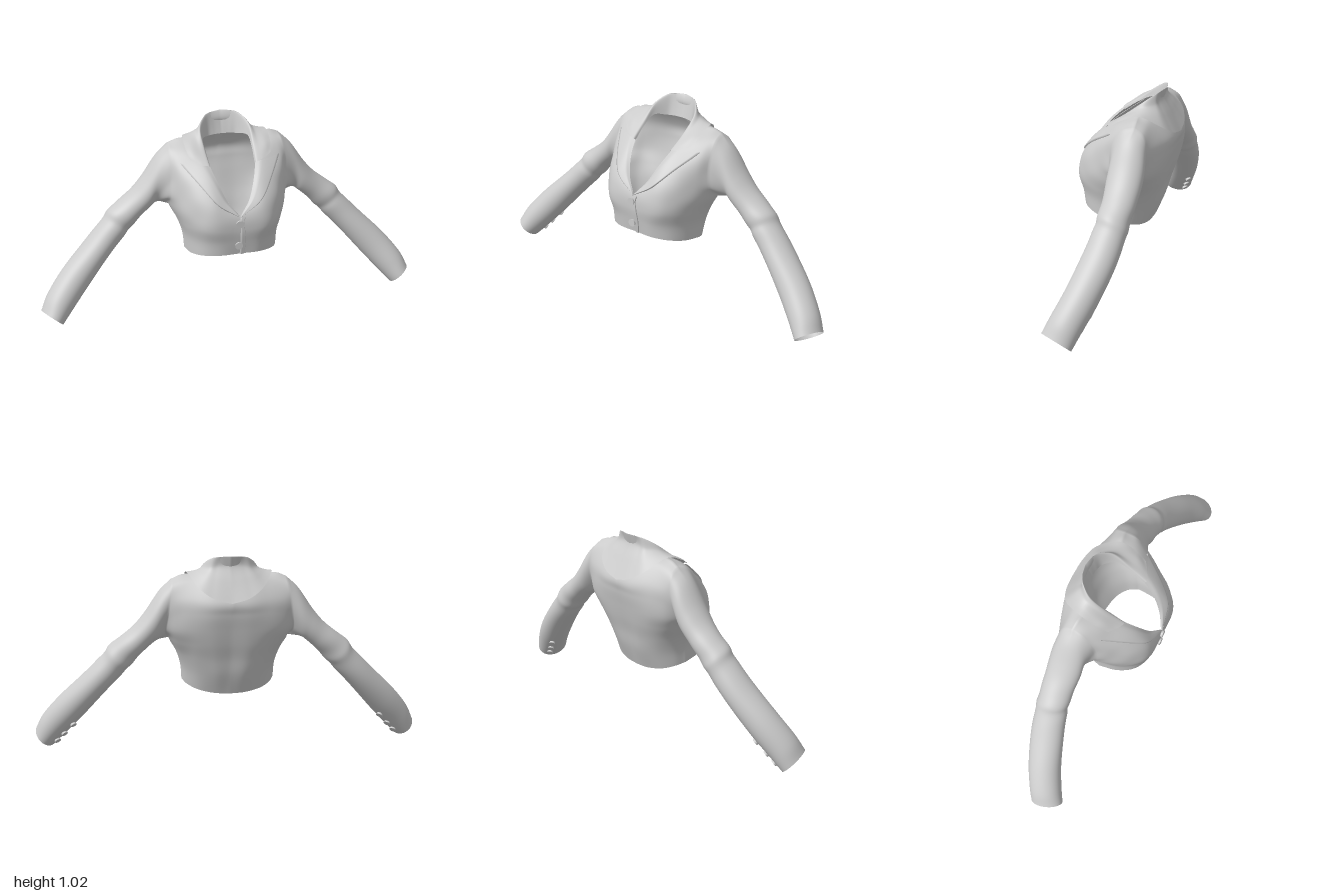
import * as THREE from 'three';
import { mergeGeometries, mergeVertices } from 'three/addons/utils/BufferGeometryUtils.js';

const V = (x, y, z) => new THREE.Vector3(x, y, z);
const spline = (pts, t) =>
  new THREE.CatmullRomCurve3(pts, false, 'catmullrom').getPoint(THREE.MathUtils.clamp(t, 0, 1));
const material = new THREE.MeshStandardMaterial({ color: 0xcccccc, side: THREE.DoubleSide });

// Rows of five control points each, from the middle of the jacket outwards.
const FRONT = [
  0, .39, .225, .1, .388, .222, .18, .378, .18, .225, .36, .1, .24, .345, 0,
  0, .46, .237, .11, .46, .23, .185, .455, .185, .232, .445, .1, .247, .43, -.01,
  0, .53, .245, .13, .535, .243, .203, .535, .195, .252, .52, .1, .27, .505, -.025,
  0, .6, .238, .13, .605, .238, .207, .605, .19, .268, .595, .1, .308, .582, -.05,
  .055, .675, .2, .13, .675, .213, .21, .68, .168, .268, .67, .09, .31, .65, .015,
  .09, .755, .15, .14, .755, .153, .205, .757, .122, .265, .755, .07, .3, .74, .015,
  .115, .82, .085, .155, .82, .082, .21, .822, .057, .265, .825, .025, .3, .82, -.005,
  .125, .868, .015, .16, .872, .01, .21, .877, -.005, .255, .88, -.028, .295, .88, -.05,
  .135, .93, -.085, .16, .925, -.09, .2, .92, -.097, .245, .917, -.105, .288, .9, -.11];
const BACK = [
  0, .29, -.122, .08, .295, -.118, .16, .31, -.098, .215, .33, -.055, .24, .345, 0,
  0, .4, -.16, .08, .4, -.16, .165, .405, -.13, .225, .42, -.075, .247, .43, -.01,
  0, .49, -.182, .09, .49, -.185, .18, .495, -.16, .245, .5, -.1, .27, .505, -.025,
  0, .57, -.207, .1, .57, -.21, .19, .57, -.19, .27, .575, -.14, .308, .582, -.05,
  0, .65, -.228, .1, .65, -.23, .2, .645, -.213, .275, .64, -.18, .325, .635, -.125,
  0, .73, -.247, .1, .73, -.245, .2, .73, -.222, .27, .725, -.195, .315, .72, -.17,
  0, .8, -.252, .1, .8, -.243, .19, .805, -.215, .26, .8, -.195, .305, .8, -.18,
  .05, .905, -.175, .11, .905, -.17, .18, .895, -.16, .24, .88, -.16, .295, .865, -.16,
  ...FRONT.slice(-15)];
// Neck seam, fold, two leaf points and leaf edge, from the notch to the centre back.
const COLLAR = [
  .115, .82, .08, .122, .83, .092, .15, .838, .083, .18, .845, .065, .21, .855, .043,
  .12, .87, .01, .13, .89, .003, .157, .892, .003, .19, .897, -.004, .222, .898, -.02,
  .118, .91, -.07, .128, .963, -.09, .15, .945, -.095, .18, .935, -.102, .215, .928, -.112,
  .08, .9, -.13, .09, 1.003, -.148, .107, .955, -.155, .135, .915, -.178, .165, .868, -.21,
  .04, .9, -.145, .05, 1.012, -.172, .06, .965, -.163, .075, .9, -.2, .09, .817, -.25,
  0, .9, -.15, 0, 1.015, -.185, 0, .97, -.168, 0, .89, -.208, 0, .793, -.261];
// Sleeve stations: top x, y, underside x, y, centre z, half depth.
const SLEEVE = [
  [.355, .835, .37, .582, -.1, .09], [.43, .725, .395, .565, -.1, .09],
  [.5, .645, .44, .525, -.1, .085], [.6, .568, .5, .46, -.097, .082],
  [.65, .505, .55, .405, -.09, .083], [.75, .4, .645, .3, -.068, .087],
  [.87, .28, .76, .165, -.028, .086], [.96, .17, .845, .07, .015, .085],
  [1, .09, .905, .005, .045, .085]];

// Smooth surface through rows of five points
function surface(data) {
  const rows = [];
  for (let i = 0; i < data.length; i += 15) {
    rows.push([0, 3, 6, 9, 12].map(k => V(data[i + k], data[i + k + 1], data[i + k + 2])));
  }
  return (u, v) => {
    const p = spline(rows.map(r => spline(r, u)), v);
    p.x = Math.max(0, p.x);
    return p;
  };
}

// Grid mesh from point(i, j); flip turns the faces over
function grid(nu, nv, point, flip = false) {
  const pos = [], index = [];
  for (let j = 0; j <= nv; j++) for (let i = 0; i <= nu; i++) pos.push(...point(i, j).toArray());
  for (let j = 0; j < nv; j++) for (let i = 0; i < nu; i++) {
    const a = j * (nu + 1) + i, b = a + 1, c = a + nu + 1, d = c + 1;
    index.push(...(flip ? [a, d, b, a, c, d] : [a, b, d, a, d, c]));
  }
  const g = new THREE.BufferGeometry();
  g.setAttribute('position', new THREE.Float32BufferAttribute(pos, 3));
  g.setIndex(index);
  g.computeVertexNormals();
  return g;
}

function mirror(geometry) {
  const g = geometry.clone().scale(-1, 1, 1), idx = g.index.array;
  for (let i = 0; i < idx.length; i += 3) [idx[i], idx[i + 1]] = [idx[i + 1], idx[i]];
  g.computeVertexNormals();
  return g;
}

// Joins geometries and smooths the normals across their shared edges
function weld(geometries) {
  const merged = mergeGeometries(geometries);
  merged.deleteAttribute('normal');
  const welded = mergeVertices(merged, 1e-5);
  welded.computeVertexNormals();
  return welded;
}

const front = surface(FRONT), back = surface(BACK), collar = surface(COLLAR);
const NU = 28, NV = 64, ARMPIT = 24, HALF = NV - ARMPIT, LENGTH = 63;

// Sleeve centre line, and lengthwise lines grown out of the armhole loop
const centres = SLEEVE.map(s => V((s[0] + s[2]) / 2, (s[1] + s[3]) / 2, s[4]));
const sleeveCentre = j => spline([V(.3, .74, -.09), ...centres], j / LENGTH);
const sleeveLines = Array.from({ length: 2 * HALF + 1 }, (_, k) => {
  const a = k / HALF * Math.PI;
  const start = k <= HALF || k === 2 * HALF
    ? front(1, (ARMPIT + k % (2 * HALF)) / NV)
    : back(1, (ARMPIT + 2 * HALF - k) / NV);
  return [start, ...SLEEVE.map((s, i) => {
    const up = V((s[0] - s[2]) / 2, (s[1] - s[3]) / 2, 0);
    const along = centres[Math.min(i + 1, 8)].clone().sub(centres[Math.max(i - 1, 0)]);
    const fwd = along.cross(up).setLength(s[5]);
    return centres[i].clone().addScaledVector(up, -Math.cos(a)).addScaledVector(fwd, Math.sin(a));
  })];
});
// Sleeve surface with soft creases around the elbow
function sleeve(k, j) {
  const s = j / 7, p = spline(sleeveLines[k], j / LENGTH);
  const fold = .028 * Math.exp(-((s - 4.2) ** 2)) * Math.sin(5 * s + 2 * Math.cos(k / HALF * Math.PI - 1));
  return p.addScaledVector(p.clone().sub(sleeveCentre(j)), j ? fold : 0);
}

// Layer lying on the front panel, with a turned-in edge
function overlay(v0, v1, edge, lift) {
  return grid(12, 32, (i, j) => {
    const v = v0 + (v1 - v0) * j / 32, s = Math.min(i / 11, 1), u = s * edge(v);
    const p = front(u, v / 8), e = .01;
    const du = front(u + e, v / 8).sub(front(u - e, v / 8));
    const dv = front(u, v / 8 + e).sub(front(u, v / 8 - e));
    const n = du.cross(dv).normalize();
    return p.addScaledVector(n, i === 12 ? -.002 : lift * Math.min(1, s * 4));
  });
}

export function createModel() {
  const group = new THREE.Group();
  const add = (name, geometry) => {
    const mesh = new THREE.Mesh(geometry, material);
    mesh.name = name;
    group.add(mesh);
    return mesh;
  };

  // Body panels and sleeves share smooth normals; the back meets the front at the side seam
  const parts = {
    FrontPanel: grid(NU, NV, (i, j) => front(i / NU, j / NV)),
    BackPanel: grid(NU, NV, (i, j) => (i === NU && j <= ARMPIT ? front : back)(i / NU, j / NV), true),
    Sleeve: grid(2 * HALF, LENGTH, sleeve, true),
  };
  const names = [], pieces = [];
  for (const [name, g] of Object.entries(parts)) {
    names.push('left' + name, 'right' + name);
    pieces.push(g, mirror(g));
  }
  const shell = weld(pieces);
  let from = 0;
  pieces.forEach((piece, i) => {
    const g = shell.clone(), count = piece.index.count;
    g.setIndex(Array.from(shell.index.array.slice(from, from + count)));
    add(names[i], g.toNonIndexed());
    from += count;
  });

  // Lapels
  const lapel = overlay(3, 6.1, v => .7 * Math.max(0, (v - 3) / 3.1) ** 1.1, .008);
  add('leftLapel', lapel);
  add('rightLapel', mirror(lapel));

  // Collar: stand, fold and leaf
  const halfCollar = grid(28, 40, (i, j) => collar(i / 28, j / 40));
  add('collar', weld([halfCollar, mirror(halfCollar)]));

  // Overlapping front edge
  add('frontPlacket', overlay(0, 3, v => .05 + .012 * Math.sin(v * 2), .005));

  // Buttons on the front and at the cuffs
  const button = (name, p, n, r) => {
    const mesh = add(name, new THREE.CylinderGeometry(r, r * .9, .012, 20));
    mesh.position.copy(p);
    mesh.quaternion.setFromUnitVectors(V(0, 1, 0), n.normalize());
  };
  button('frontButton', V(-.005, .57, .25), V(0, 0, 1), .02);
  button('frontButton', V(-.008, .445, .242), V(0, 0, 1), .02);
  for (const j of [51, 55, 59]) {
    const p = sleeve(72, j), n = p.clone().sub(sleeveCentre(j)).normalize();
    p.addScaledVector(n, .004);
    for (const side of [1, -1]) {
      button('cuffButton', V(side * p.x, p.y, p.z), V(side * n.x, n.y, n.z), .017);
    }
  }
  return group;
}
